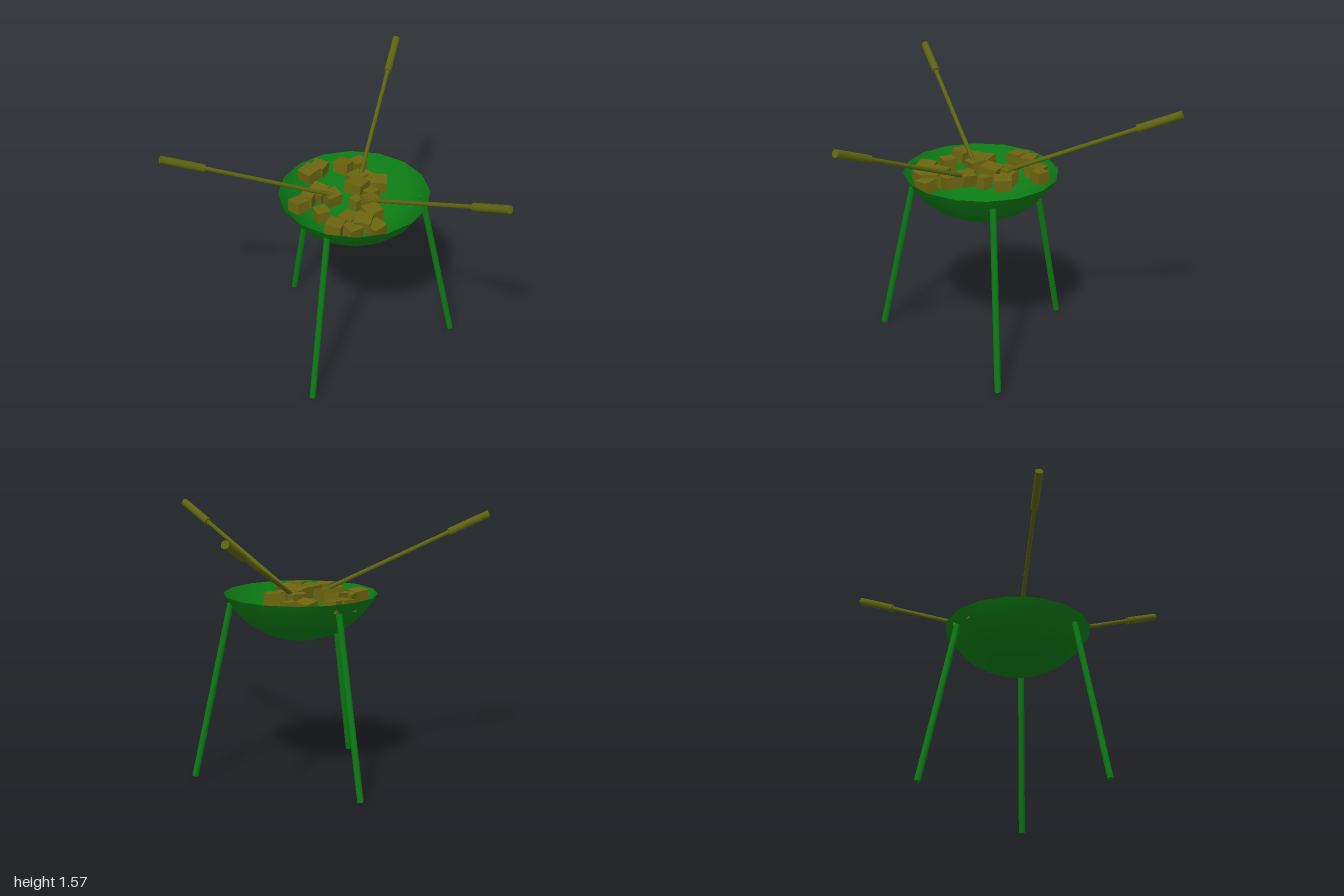
import * as THREE from 'three';

const green = new THREE.MeshStandardMaterial({ color: 0x0c7a14, side: THREE.DoubleSide });
const olive = new THREE.MeshStandardMaterial({ color: 0x5c6410 });
const coalMat = new THREE.MeshStandardMaterial({ color: 0x6b6410, flatShading: true });
const CX = 0.2, CZ = -0.09; // bowl axis

// Point at a radius, height and angle around the bowl axis
const polar = (r, y, deg) => {
  const a = THREE.MathUtils.degToRad(deg);
  return new THREE.Vector3(CX + r * Math.cos(a), y, CZ + r * Math.sin(a));
};

// Straight rod between two points
function rod(name, a, b, r, sides, mat) {
  const dir = b.clone().sub(a);
  const mesh = new THREE.Mesh(new THREE.CylinderGeometry(r, r, dir.length(), sides), mat);
  mesh.position.copy(a).lerp(b, 0.5);
  mesh.quaternion.setFromUnitVectors(new THREE.Vector3(0, 1, 0), dir.normalize());
  mesh.name = name;
  return mesh;
}

export function createModel() {
  const model = new THREE.Group();
  model.name = 'firePit';

  // Shallow bowl: a slice of a sphere with a flat bottom
  const profile = [];
  for (const r of [0.11, 0.2, 0.28, 0.35, 0.41, 0.455]) {
    profile.push(new THREE.Vector2(r, 1.35 - Math.sqrt(0.512 ** 2 - r * r)));
  }
  const bowl = new THREE.Mesh(new THREE.LatheGeometry(profile, 16), green);
  bowl.name = 'bowl';
  bowl.position.set(CX, 0, CZ);
  const base = new THREE.Mesh(new THREE.CircleGeometry(0.11, 16), green);
  base.name = 'bowlBase';
  base.rotation.x = -Math.PI / 2;
  base.position.set(CX, profile[0].y, CZ);
  model.add(bowl, base);

  for (let i = 0; i < 3; i++) {
    // Splayed legs
    const legAngle = 17.4 + i * 120;
    model.add(rod('leg', polar(0.637, 0.005, legAngle), polar(0.412, 1.055, legAngle), 0.02, 8, green));

    // Roasting sticks with thicker handles
    const stickAngle = 68.5 + i * 120;
    const stick = new THREE.Group();
    stick.name = 'roastingStick';
    const tip = polar(0.1, 1.11, stickAngle);
    const joint = polar(0.895, 1.45, stickAngle);
    const end = polar(1.14, 1.553, stickAngle);
    stick.add(rod('stickShaft', tip, joint, 0.013, 8, olive));
    stick.add(rod('stickHandle', joint, end, 0.024, 8, olive));
    model.add(stick);
  }

  // Coals: x, z, height of centre, turn, size
  const coals = [
    [0.05, -0.42, 1.09, 0.4, 0.1], [0.13, -0.45, 1.09, 0.7, 0.09],
    [0.28, -0.41, 1.09, 0.6, 0.1], [0.37, -0.39, 1.09, 0.2, 0.08],
    [0.02, -0.21, 1.09, 0.6, 0.1], [-0.14, -0.14, 1.09, 0.3, 0.09],
    [-0.06, -0.19, 1.08, 0.8, 0.08], [0.07, -0.12, 1.1, 0.1, 0.09],
    [0.28, -0.22, 1.11, 0.3, 0.1], [0.24, -0.14, 1.12, 0.6, 0.11],
    [0.385, -0.14, 1.1, 1.1, 0.1], [0.3, -0.06, 1.09, 0.3, 0.07],
    [-0.055, 0, 1.09, 0, 0.08], [-0.035, 0.15, 1.09, 0.8, 0.1],
    [0.07, 0.12, 1.09, 0.5, 0.1], [0.13, 0.19, 1.1, 0.9, 0.1],
    [0.05, 0.21, 1.08, 0.2, 0.09], [0.16, 0.15, 1.09, 0.6, 0.09],
    [0.22, 0.12, 1.1, 0.1, 0.1], [0.18, 0.25, 1.08, 0.3, 0.09],
    [0.25, 0.03, 1.11, 0.1, 0.09], [0.18, -0.02, 1.09, 0.4, 0.06],
    [0.34, -0.2, 1.1, 0.5, 0.08],
  ];
  const pile = new THREE.Group();
  pile.name = 'coals';
  coals.forEach(([x, z, y, turn, s], i) => {
    const coal = new THREE.Mesh(new THREE.BoxGeometry(s, 0.07, s), coalMat);
    coal.name = 'coal';
    coal.position.set(x, y, z);
    coal.rotation.set(0.1 * Math.sin(i * 2.1), turn, 0.1 * Math.cos(i * 1.7));
    pile.add(coal);
  });
  model.add(pile);

  return model;
}
